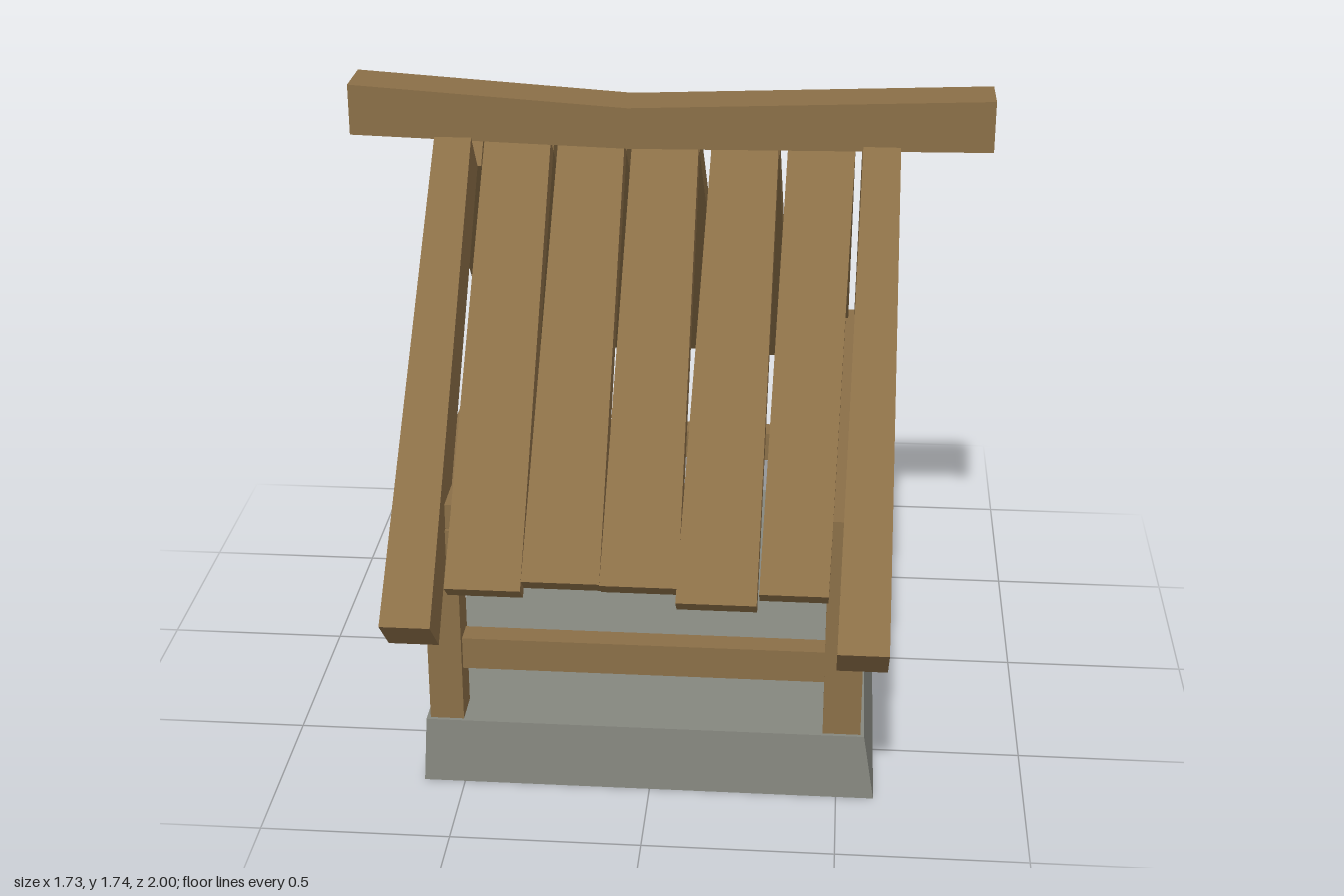
import * as THREE from 'three';

const wood = new THREE.MeshStandardMaterial({ color: 0x8b6f47, flatShading: true });
const stone = new THREE.MeshStandardMaterial({ color: 0x85877f, flatShading: true });

// Solid through a row of four-cornered sections, turned so that faces point outwards
function loft(name, sections, material = wood) {
  const tris = [];
  const quad = (a, b, c, d) => tris.push([a, b, c], [a, c, d]);
  const last = sections[sections.length - 1];
  for (let i = 0; i + 1 < sections.length; i++) {
    const s = sections[i], t = sections[i + 1];
    for (let k = 0; k < 4; k++) quad(s[k], s[(k + 1) % 4], t[(k + 1) % 4], t[k]);
  }
  quad(...[...sections[0]].reverse());
  quad(...last);
  const v = (p) => new THREE.Vector3(...p);
  let volume = 0;
  for (const [a, b, c] of tris) volume += v(a).dot(v(b).cross(v(c)));
  if (volume < 0) tris.forEach((t) => t.reverse());
  const geometry = new THREE.BufferGeometry();
  geometry.setAttribute('position', new THREE.Float32BufferAttribute(tris.flat(2), 3));
  geometry.computeVertexNormals();
  const mesh = new THREE.Mesh(geometry, material);
  mesh.name = name;
  return mesh;
}

// Sections across each axis
const atX = (x, y0, y1, z0, z1) => [[x, y0, z0], [x, y1, z0], [x, y1, z1], [x, y0, z1]];
const atY = (y, x0, x1, z0, z1) => [[x0, y, z0], [x1, y, z0], [x1, y, z1], [x0, y, z1]];
const atZ = (z, x0, x1, y0, y1) => [[x0, y0, z], [x1, y0, z], [x1, y1, z], [x0, y1, z]];

// Roof board: side profile as [z, y] corners, with its own x span at the ridge and at the eave
function roofBoard(name, side, [topOuter, topInner, eaveInner, eaveOuter], ridgeX, eaveX) {
  const section = ([oz, oy], [iz, iy], [x0, x1]) =>
    [[x0, oy, oz * side], [x1, oy, oz * side], [x1, iy, iz * side], [x0, iy, iz * side]];
  return loft(name, [section(topOuter, topInner, ridgeX), section(eaveOuter, eaveInner, eaveX)]);
}

export function createModel() {
  const model = new THREE.Group();
  model.name = 'shelter';

  // Stone base, slightly narrower at the top
  model.add(loft('base', [
    atY(0, -0.61, 0.6, -0.73, 0.74),
    atY(0.185, -0.6, 0.57, -0.715, 0.73),
  ], stone));

  // Corner posts
  for (const [x0, x1, z0, z1] of [
    [-0.59, -0.5, 0.62, 0.72], [0.46, 0.56, 0.625, 0.72],
    [-0.57, -0.475, -0.71, -0.615], [0.48, 0.58, -0.71, -0.62],
  ]) model.add(loft('post', [atY(0.17, x0, x1, z0, z1), atY(0.75, x0, x1, z0, z1)]));

  // Beams along the sides, on top of the posts
  model.add(loft('leftTieBeam', [
    atZ(-0.735, -0.58, -0.49, 0.73, 0.82), atZ(0.71, -0.59, -0.5, 0.73, 0.82)]));
  model.add(loft('rightTieBeam', [
    atZ(-0.72, 0.485, 0.575, 0.73, 0.82), atZ(0.73, 0.47, 0.56, 0.73, 0.82)]));

  // Low rails between the posts
  model.add(loft('frontRail', [
    atX(-0.52, 0.33, 0.42, 0.635, 0.7), atX(0.48, 0.33, 0.42, 0.635, 0.7)]));
  model.add(loft('backRail', [
    atX(-0.5, 0.33, 0.42, -0.715, -0.64), atX(0.5, 0.33, 0.42, -0.715, -0.64)]));

  // Rafters, wider towards the eave: side, eave end, ridge span, eave span
  for (const [side, z, ridgeX, eaveX] of [
    [1, 0.98, [-0.63, -0.53], [-0.66, -0.53]],
    [1, 0.997, [0.52, 0.62], [0.49, 0.62]],
    [-1, 1.0, [-0.63, -0.52], [-0.63, -0.5]],
    [-1, 0.985, [0.52, 0.62], [0.52, 0.65]],
  ]) {
    const y = 0.585 + (1 - z) * 1.12;
    model.add(roofBoard('rafter', side,
      [[0.09, 1.61], [0, 1.5], [z - 0.11, y - 0.11], [z, y]], ridgeX, eaveX));
  }

  // Crooked planks: eave end and eave span of the front and the back plank
  const ridgeSpans = [[-0.5, -0.32], [-0.3, -0.12], [-0.1, 0.08], [0.115, 0.295], [0.32, 0.5]];
  const front = [
    [0.875, -0.51, -0.315], [0.858, -0.315, -0.115], [0.86, -0.115, 0.085],
    [0.885, 0.08, 0.285], [0.865, 0.29, 0.465]];
  const back = [
    [0.897, -0.48, -0.285], [0.87, -0.285, -0.09], [0.863, -0.09, 0.11],
    [0.885, 0.11, 0.315], [0.853, 0.315, 0.5]];
  for (const [side, planks] of [[1, front], [-1, back]]) {
    planks.forEach(([z, x0, x1], i) => {
      const y = 0.665 + (0.875 - z) * 1.12;
      model.add(roofBoard('roofPlank', side,
        [[0.045, 1.6], [0, 1.55], [z - 0.05, y - 0.045], [z, y]], ridgeSpans[i], [x0, x1]));
    });
  }

  // Sagging ridge beam
  model.add(loft('ridgeBeam', [
    atX(-0.867, 1.6, 1.74, -0.09, 0.057),
    atX(-0.11, 1.582, 1.695, -0.077, 0.068),
    atX(0.865, 1.6, 1.74, -0.06, 0.085),
  ]));

  return model;
}
